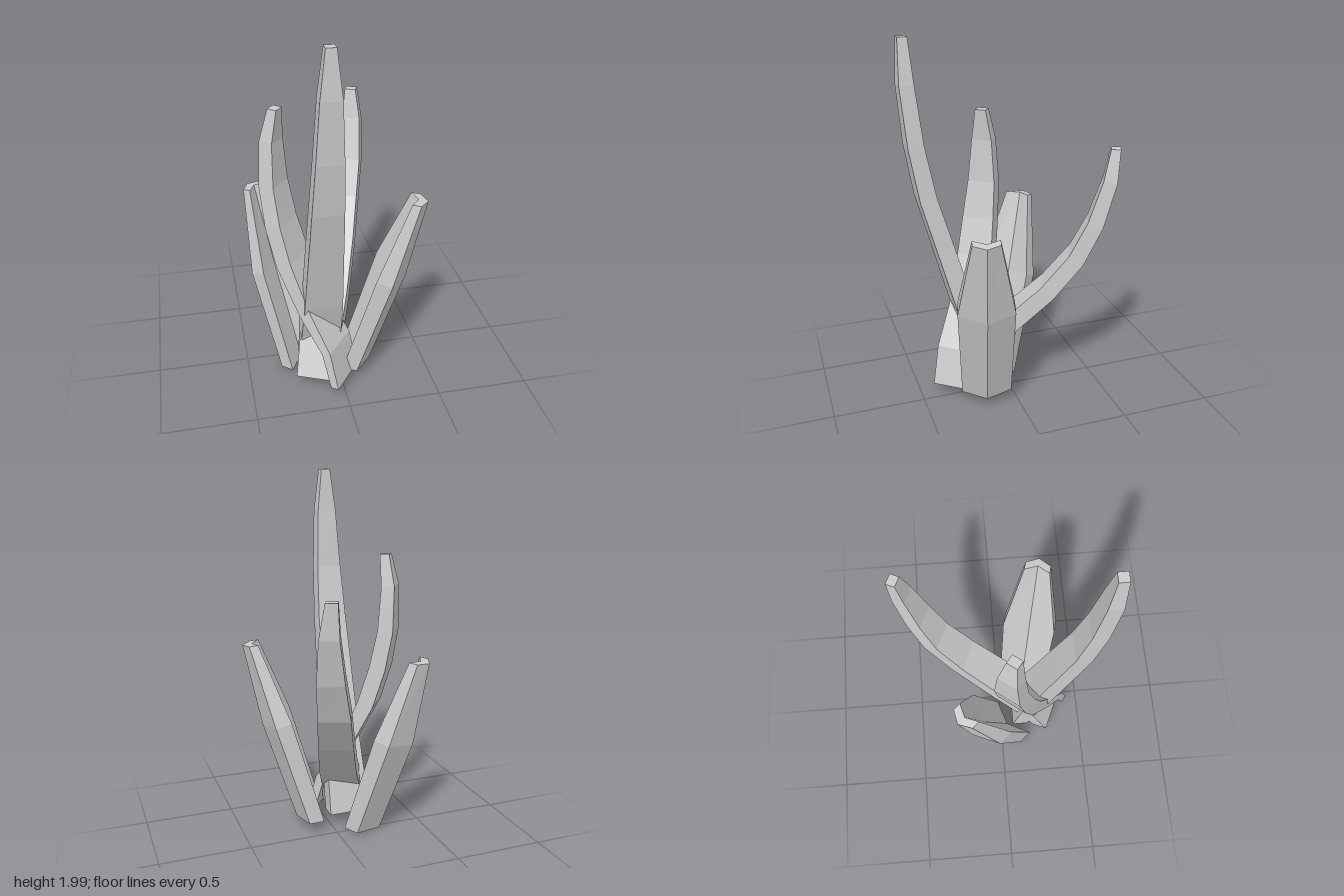
import * as THREE from 'three';

const material = new THREE.MeshStandardMaterial({ color: 0xcccccc, flatShading: true, side: THREE.DoubleSide });

// Cross-sections as [across width, through thickness] in half sizes.
// The leaf is a chevron: a valley inside and a ridge outside.
const BLADE = [[1, 1], [-1, 1], [-1, -1], [1, -1]];
const LEAF = [[0, -0.2], [1, -1], [1, 0.1], [0, 1], [-1, 0.1], [-1, -1]];

// Sweeps a section along rings of [x, y, z, halfWidth, halfThickness].
// widthDir is the horizontal direction of the width, as [x, z].
// levelling turns the end cuts towards horizontal.
function sweep(name, section, widthDir, rings, levelling) {
  const w = new THREE.Vector3(widthDir[0], 0, widthDir[1]).normalize();
  const centres = rings.map(r => new THREE.Vector3(r[0], r[1], r[2]));
  const last = rings.length - 1;
  const n = section.length;

  const loops = rings.map((r, i) => {
    const tangent = centres[Math.min(i + 1, last)].clone()
      .sub(centres[Math.max(i - 1, 0)]).normalize();
    if (i === 0 || i === last) tangent.lerp(new THREE.Vector3(0, 1, 0), levelling).normalize();
    const across = w.clone().addScaledVector(tangent, -w.dot(tangent)).normalize();
    const through = tangent.clone().cross(across);
    return section.map(([a, b]) => centres[i].clone()
      .addScaledVector(across, a * r[3])
      .addScaledVector(through, b * r[4]));
  });

  const positions = [];
  const tri = (...corners) => corners.forEach(p => positions.push(p.x, p.y, p.z));

  // Side faces
  for (let i = 0; i < last; i++) {
    for (let k = 0; k < n; k++) {
      const j = (k + 1) % n;
      tri(loops[i][k], loops[i][j], loops[i + 1][j]);
      tri(loops[i][k], loops[i + 1][j], loops[i + 1][k]);
    }
  }
  // End caps
  for (let k = 1; k < n - 1; k++) {
    tri(loops[0][0], loops[0][k + 1], loops[0][k]);
    tri(loops[last][0], loops[last][k], loops[last][k + 1]);
  }

  const geometry = new THREE.BufferGeometry();
  geometry.setAttribute('position', new THREE.Float32BufferAttribute(positions, 3));
  geometry.computeVertexNormals();
  const mesh = new THREE.Mesh(geometry, material);
  mesh.name = name;
  return mesh;
}

export function createModel() {
  const plant = new THREE.Group();
  plant.name = 'plant';

  // Long curved blades
  plant.add(sweep('tallFrontBlade', BLADE, [1, 0], [
    [-0.10, 0.08, 0.12, 0.11, 0.045],
    [-0.10, 0.30, 0.165, 0.11, 0.05],
    [-0.10, 0.53, 0.24, 0.103, 0.05],
    [-0.105, 0.84, 0.325, 0.092, 0.048],
    [-0.11, 1.18, 0.42, 0.08, 0.045],
    [-0.11, 1.46, 0.47, 0.068, 0.042],
    [-0.11, 1.77, 0.50, 0.052, 0.038],
    [-0.11, 2.00, 0.505, 0.025, 0.025],
  ], 1));

  plant.add(sweep('rightBlade', BLADE, [0.6, -0.8], [
    [0.008, 0.065, 0.316, 0.125, 0.022],
    [-0.033, 0.27, 0.28, 0.12, 0.025],
    [-0.135, 0.47, 0.19, 0.108, 0.035],
    [-0.235, 0.74, 0.11, 0.10, 0.045],
    [-0.285, 0.95, 0.07, 0.09, 0.045],
    [-0.313, 1.16, 0.04, 0.077, 0.042],
    [-0.317, 1.40, 0.035, 0.057, 0.036],
    [-0.295, 1.57, 0.05, 0.03, 0.025],
  ], 0.8));

  plant.add(sweep('backBlade', BLADE, [0.92, 0.4], [
    [-0.135, 0.075, 0.285, 0.11, 0.045],
    [-0.10, 0.25, 0.20, 0.11, 0.05],
    [-0.015, 0.405, 0.02, 0.103, 0.05],
    [0.08, 0.64, -0.20, 0.093, 0.047],
    [0.14, 0.84, -0.34, 0.083, 0.045],
    [0.187, 1.04, -0.42, 0.07, 0.042],
    [0.217, 1.27, -0.48, 0.05, 0.036],
    [0.215, 1.44, -0.505, 0.03, 0.025],
  ], 1));

  // Short broad leaves
  plant.add(sweep('leftLeaf', LEAF, [-0.25, 0.97], [
    [0.11, 0.07, 0.165, 0.137, 0.075],
    [0.282, 0.65, 0.212, 0.15, 0.082],
    [0.411, 1.09, 0.248, 0.07, 0.043],
  ], 0.5));

  plant.add(sweep('rightLeaf', LEAF, [0.75, -0.65], [
    [-0.20, 0.02, 0.03, 0.145, 0.075],
    [-0.32, 0.58, -0.12, 0.155, 0.083],
    [-0.397, 1.03, -0.212, 0.07, 0.043],
  ], 0.5));

  return plant;
}
